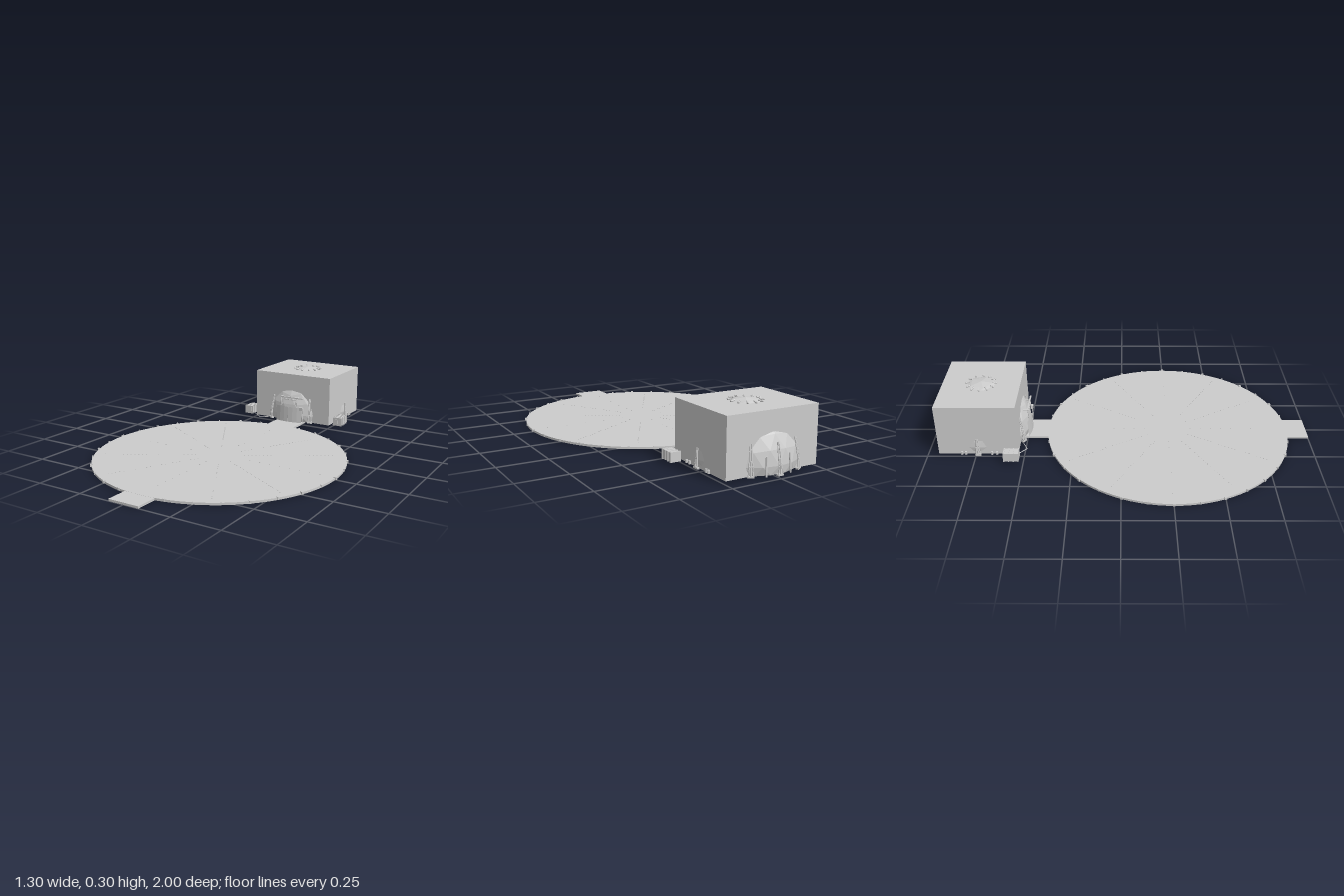
import * as THREE from 'three';

export function createModel() {
  const model = new THREE.Group();
  const grey = new THREE.MeshStandardMaterial({ color: 0xcccccc, flatShading: true });
  grey.name = 'light grey';

  const add = (name, geo, x = 0, y = 0, z = 0, parent = model) => {
    const m = new THREE.Mesh(geo, grey);
    m.name = name;
    m.position.set(x, y, z);
    parent.add(m);
    return m;
  };
  const box = (name, w, h, d, x, y, z, parent) =>
    add(name, new THREE.BoxGeometry(w, h, d), x, y, z, parent);
  const group = (name, x = 0, y = 0, z = 0) => {
    const g = new THREE.Group();
    g.name = name;
    g.position.set(x, y, z);
    model.add(g);
    return g;
  };
  // Thin rod between two points
  const rod = (name, a, b, r, parent) => {
    const p = new THREE.Vector3(...a), q = new THREE.Vector3(...b);
    const m = add(name, new THREE.CylinderGeometry(r, r, p.distanceTo(q), 6), 0, 0, 0, parent);
    m.position.copy(p).add(q).multiplyScalar(0.5);
    m.quaternion.setFromUnitVectors(new THREE.Vector3(0, 1, 0), q.sub(p).normalize());
    return m;
  };

  // Landing pad with walkways at both ends
  const padZ = 0.25, padR = 0.645;
  add('landingPad', new THREE.CylinderGeometry(padR, padR, 0.011, 96), 0, 0.0055, padZ);
  box('frontWalkway', 0.166, 0.0105, 0.13, 0, 0.00525, 0.935);
  box('backWalkway', 0.166, 0.0105, 0.17, 0, 0.00525, -0.46);

  // Lamps on the pad rim
  const rim = group('rimLamps', 0, 0, padZ);
  for (let i = 0; i < 32; i++) {
    const a = i * Math.PI / 16, s = i % 2 ? 0.008 : 0.013;
    if (i % 16 === 8) continue; // walkway openings
    const lamp = box('rimLamp', s, 0.013, s, Math.cos(a) * 0.645, 0.0085, Math.sin(a) * 0.645, rim);
    lamp.rotation.y = -a;
  }

  // Radial rows of small floor lights
  const rows = group('floorLights', 0, 0, padZ);
  const dot = new THREE.BoxGeometry(0.005, 0.0015, 0.005);
  for (let i = 0; i < 12; i++) {
    const a = i * Math.PI / 6, step = i % 3 ? 0.0195 : 0.055;
    for (let r = 0.125; r < 0.6; r += step) {
      add('floorLight', dot, Math.cos(a) * r, 0.0115, Math.sin(a) * r, rows).rotation.y = -a;
    }
  }

  // Square building block
  const cz = -0.735, floor = 0.012;
  box('building', 0.486, 0.278, 0.41, 0, 0.151, cz);

  // Faceted dome that breaks through the walls and roof
  const R = 0.25, cy = 0.053;
  const domeGeo = new THREE.IcosahedronGeometry(R, 3);
  domeGeo.rotateZ(Math.atan(2 / (1 + Math.sqrt(5))));
  domeGeo.rotateY(Math.PI / 2);
  const pos = domeGeo.attributes.position;
  for (let i = 0; i < pos.count; i++) pos.setY(i, Math.max(pos.getY(i), floor + 0.002 - cy));
  domeGeo.computeVertexNormals();
  add('dome', domeGeo, 0, cy, cz);

  // Ring of clamps around the dome crown
  const crown = group('crownClamps', 0, 0, cz);
  for (let i = 0; i < 12; i++) {
    const a = i * Math.PI / 6, c = Math.cos(a), s = Math.sin(a);
    rod('crownClamp', [c * 0.06, 0.298, s * 0.06], [c * 0.08, 0.291, s * 0.08], 0.004, crown);
    add('crownKnob', new THREE.SphereGeometry(0.006, 6, 4), c * 0.079, 0.294, s * 0.079, crown);
  }

  // Twin-rail struts leaning on the dome where it shows outside the walls
  for (const deg of [0, 60, 120, 180, 240, 270, 300]) {
    const strut = group('domeStrut', 0, 0, cz);
    strut.rotation.y = deg * Math.PI / 180 + Math.PI;
    const side = deg % 180 === 0, top = side ? 0.105 : 0.155;
    const rt = Math.sqrt(R * R - (top - cy) ** 2) + 0.008;
    for (const s of [-1, 1]) {
      rod('strutRail', [0.26, floor, s * 0.011], [0.256, 0.06, s * 0.007], 0.003, strut);
      rod('strutRail', [0.256, 0.06, s * 0.007], [rt, top, s * 0.003], 0.003, strut);
    }
    rod('strutPiston', [0.261, 0.02, 0], [0.254, 0.085, 0], 0.0045, strut);
    box('strutFoot', 0.014, 0.008, 0.03, 0.256, 0.016, 0, strut);
    box('strutBrace', 0.006, 0.006, 0.018, 0.257, 0.06, 0, strut);
  }

  // Small anchors along the wall bases
  for (const x of [-1, 1]) for (const z of [-0.82, -0.8, -0.665, -0.64]) {
    add('wallAnchor', new THREE.CylinderGeometry(0.006, 0.006, 0.016, 6), x * 0.248, 0.02, z);
  }
  for (const x of [-0.065, 0.065]) {
    rod('backBrace', [x, floor, -0.982], [x * 0.95, 0.1, -0.975], 0.004);
  }

  // Entrance: curved door panel, bracket frame and control box
  const door = group('entrance');
  const panel = new THREE.CylinderGeometry(0.252, 0.255, 0.09, 6, 1, true, -0.33, 0.66);
  add('doorPanel', panel, 0, 0.057, cz, door);
  rod('doorSeam', [0, floor, -0.481], [0, 0.1, -0.484], 0.0015, door);
  for (const s of [-1, 1]) {
    rod('framePost', [s * 0.052, 0.105, -0.489], [s * 0.052, 0.158, -0.495], 0.003, door);
    rod('frameArm', [s * 0.052, 0.158, -0.495], [s * 0.052, 0.158, -0.53], 0.003, door);
    rod('innerPost', [s * 0.044, 0.112, -0.49], [s * 0.044, 0.145, -0.494], 0.002, door);
  }
  box('frameBeam', 0.145, 0.006, 0.008, 0.018, 0.158, -0.495, door);
  box('innerBeam', 0.09, 0.004, 0.005, 0, 0.145, -0.494, door);
  box('controlBox', 0.024, 0.018, 0.012, 0.084, 0.097, -0.49, door);
  rod('controlPole', [0.092, floor, -0.49], [0.092, 0.09, -0.49], 0.0025, door);

  // Ribbed equipment crates beside the building
  for (const [x, z] of [[0.292, -0.58], [-0.292, -0.56]]) {
    const crate = group('equipmentCrate', x, 0.039, z);
    box('crateBody', 0.048, 0.044, 0.078, 0, 0, 0, crate);
    for (const dz of [-0.036, -0.012, 0.012, 0.036]) {
      box('crateRib', 0.054, 0.048, 0.006, 0, 0, dz, crate);
    }
    box('crateHatch', 0.02, 0.024, 0.004, -Math.sign(x) * 0.008, 0, 0.04, crate);
  }

  // Cable from the right crate to the entrance
  const path = [[-0.268, 0.02, -0.54], [-0.245, 0.014, -0.53], [-0.2, 0.014, -0.49],
    [-0.15, 0.014, -0.515]];
  for (let i = 0; i < 3; i++) rod('cable', path[i], path[i + 1], 0.002);

  return model;
}
